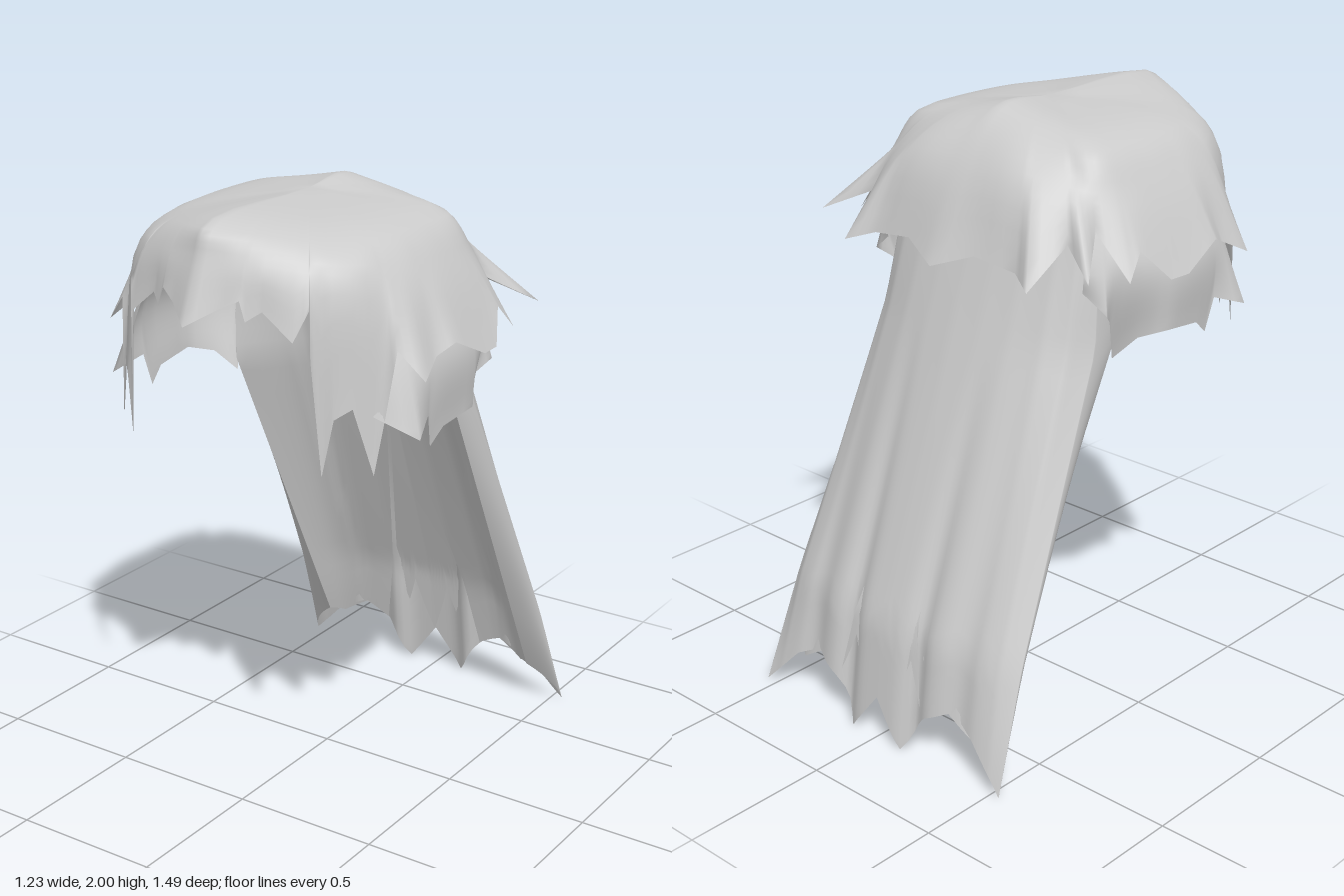
import * as THREE from 'three';
import { mergeVertices } from 'three/addons/utils/BufferGeometryUtils.js';

const { lerp, clamp } = THREE.MathUtils;
const V = (p) => new THREE.Vector3(...p);
const material = new THREE.MeshStandardMaterial({ color: 0xcccccc, side: THREE.DoubleSide });

// Skin a list of columns, each a list of Vector3 from top to bottom
function skin(name, columns) {
  const rows = columns[0].length, pos = [], index = [];
  columns.forEach((c) => c.forEach((p) => pos.push(p.x, p.y, p.z)));
  for (let i = 0; i < columns.length - 1; i++)
    for (let j = 0; j < rows - 1; j++) {
      const a = i * rows + j, b = a + rows;
      index.push(a, a + 1, b, b, a + 1, b + 1);
    }
  let g = new THREE.BufferGeometry();
  g.setAttribute('position', new THREE.Float32BufferAttribute(pos, 3));
  g.setIndex(index);
  g = mergeVertices(g, 1e-4);
  g.computeVertexNormals();
  const mesh = new THREE.Mesh(g, material);
  mesh.name = name;
  return mesh;
}

const flip = (columns) => columns.map((c) => c.map((p) => new THREE.Vector3(-p.x, p.y, p.z))).reverse();
const whole = (half) => [...flip(half).slice(0, -1), ...half];

// Bearing around the head, 0 at the front and PI at the back
const bearing = (p) => Math.atan2(p.x, p.z - 0.1);

// Point of a half ring lying at a given bearing
function atBearing(curve, angle) {
  let lo = 0, hi = 1;
  for (let k = 0; k < 24; k++) {
    const mid = (lo + hi) / 2;
    if (bearing(curve.getPoint(mid)) < angle) lo = mid; else hi = mid;
  }
  return curve.getPoint((lo + hi) / 2);
}

// Columns falling from rings (and an optional crown point) to a jagged hem
function fall(rings, hem, crown) {
  const curves = rings.map((r) => new THREE.CatmullRomCurve3(r.map(V)));
  const pts = [];
  hem.map(V).forEach((p, i, all) => {
    const next = all[i + 1];
    for (let k = 0; k < (next ? 3 : 1); k++) pts.push(next ? p.clone().lerp(next, k / 3) : p);
  });
  return pts.map((tip) => {
    const col = curves.map((c) => atBearing(c, bearing(tip)));
    if (crown) col.unshift(V(crown));
    return new THREE.CatmullRomCurve3([...col, tip]).getPoints(14);
  });
}

// Piecewise linear lookup in [x, y] pairs
function lookup(table, x) {
  for (let i = 1; i < table.length; i++)
    if (x <= table[i][0]) {
      const [a, b] = [table[i - 1], table[i]];
      return lerp(a[1], b[1], clamp((x - a[0]) / (b[0] - a[0]), 0, 1));
    }
  return table[table.length - 1][1];
}

// Front and rear depth and half width of the long hair at height y
const rearZ = (y) => (y > 0.4 ? -0.7 + (y - 0.4) * 0.364 : -0.75 + y * 0.125);
const frontZ = (y) => Math.min(-0.08, -0.73 + 0.496 * y);
const halfWidth = (y) => 0.54 - 0.075 * y;
const notch = (y) => 0.2 * Math.max(0, (1.22 - y) / 1.07);

// Rounded wrap of the long hair: share of the depth reached at a share of the width
const wrap = [[0, 0], [0.25, 0.02], [0.5, 0.08], [0.75, 0.21], [0.9, 0.38], [1, 0.65]];

export function createModel() {
  const model = new THREE.Group();
  model.name = 'hair';

  // Crown with fringe, front locks, side layer and flared back layer
  const crownEdge = [[0, 1.965, 0.63], [0.12, 1.95, 0.56], [0.28, 1.925, 0.43], [0.36, 1.92, 0.28],
    [0.38, 1.92, 0.05], [0.36, 1.92, -0.12], [0.2, 1.955, -0.13], [0, 1.995, -0.13]];
  const shoulder = [[0, 1.88, 0.67], [0.2, 1.86, 0.6], [0.38, 1.83, 0.48], [0.47, 1.81, 0.3],
    [0.49, 1.79, 0.05], [0.45, 1.79, -0.15], [0.25, 1.84, -0.29], [0, 1.85, -0.3]];
  const hem = [[0, 1.69, 0.75], [0.08, 1.74, 0.69], [0.14, 1.77, 0.66], [0.16, 1.71, 0.66],
    [0.2, 1.74, 0.63], [0.3, 1.66, 0.62], [0.33, 1.75, 0.58], [0.335, 1.6, 0.58],
    [0.36, 1.24, 0.56], [0.39, 1.42, 0.54], [0.43, 1.45, 0.5], [0.48, 1.24, 0.46],
    [0.5, 1.42, 0.43], [0.52, 1.62, 0.4], [0.6, 1.53, 0.37], [0.575, 1.58, 0.27],
    [0.6, 1.61, 0.2], [0.615, 1.54, 0.05], [0.61, 1.54, -0.03], [0.56, 1.64, -0.12],
    [0.58, 1.56, -0.19], [0.46, 1.7, -0.21], [0.57, 1.6, -0.37], [0.42, 1.67, -0.29],
    [0.39, 1.55, -0.44], [0.3, 1.58, -0.39], [0.14, 1.6, -0.4], [0, 1.55, -0.45]];
  model.add(skin('crownAndFringe', whole(fall([crownEdge, shoulder], hem, [0, 1.985, 0.1]))));

  // Lower side layers tucked beneath the crown
  const under = [[0.32, 1.78, 0.46], [0.43, 1.76, 0.3], [0.46, 1.75, 0.05], [0.42, 1.75, -0.14], [0.3, 1.75, -0.25]];
  const bulge = [[0.4, 1.56, 0.48], [0.53, 1.56, 0.32], [0.56, 1.55, 0.05], [0.5, 1.56, -0.14], [0.4, 1.56, -0.26]];
  const underHem = [[0.47, 1.42, 0.45], [0.59, 1.35, 0.38], [0.55, 1.39, 0.27], [0.54, 1.28, 0.24],
    [0.55, 1.33, 0.18], [0.56, 1.35, 0.02], [0.5, 1.33, -0.05], [0.44, 1.26, -0.1],
    [0.47, 1.4, -0.15], [0.5, 1.44, -0.2], [0.42, 1.5, -0.22]];
  const side = fall([under, bulge], underHem);
  model.add(skin('leftSideLayer', side), skin('rightSideLayer', flip(side)));

  // Long back hair: a rounded sheet whose edges wrap forward, with grooves beside the locks
  const backHem = [[0, 0.15], [0.11, 0], [0.16, 0.1], [0.2, 0.15], [0.3, 0.2], [0.4, 0.15], [0.48, 0.06], [0.525, 0.01]];
  const groove = (x, at, depth, size) => depth * Math.exp(-(((x - at) / size) ** 2));
  const N = 48, M = 28, turn = 0.8, long = [];
  for (let i = 0; i <= N; i++) {
    const t = i / N, col = [];
    const across = Math.sin(Math.min(1, t / turn) * Math.PI / 2);
    const edge = Math.max(0, (t - turn) / (1 - turn));
    const low = edge ? lerp(0.01, 0.15, edge) : lookup(backHem, across * 0.525);
    for (let j = 0; j <= M; j++) {
      const y = lerp(1.7, low, j / M), w = halfWidth(y);
      const x = edge ? lerp(w, Math.min(w, 0.43), edge ** 2) : across * w;
      const forward = edge ? lerp(0.65, 1, edge) : lookup(wrap, across);
      const fold = groove(x, 0.15, 0.03, 0.04) + groove(x, 0.33, 0.02, 0.06);
      const z = lerp(rearZ(y), frontZ(y), forward) + fold * clamp(1.3 - y, 0, 1);
      col.push(new THREE.Vector3(x, y, z));
    }
    long.push(col);
  }
  model.add(skin('longBackHair', whole(long)));

  // Lining of the long hair, between two widths given by height
  function lining(from, to, top, hemTable, inset) {
    const half = [];
    for (let i = 0; i <= 20; i++) {
      const s = i / 20, col = [], low = lookup(hemTable, s);
      for (let j = 0; j <= M; j++) {
        const y = lerp(top, low, j / M), x = lerp(from(y), to(y), s);
        const forward = lookup(wrap, x / halfWidth(y)) + inset;
        col.push(new THREE.Vector3(x, y, lerp(rearZ(y), frontZ(y), lerp(forward, 1, s ** 6 * (x > 0.3)))));
      }
      half.push(col);
    }
    return half;
  }

  // Inner panels parting in a tall notch, filled by a ragged centre lock
  const panel = lining(notch, (y) => Math.min(halfWidth(y), 0.43), 1.62, [[0, 0.15], [0.4, 0.2], [0.8, 0.14], [1, 0.15]], 0.17);
  model.add(skin('leftInnerPanel', panel), skin('rightInnerPanel', flip(panel)));
  const lock = lining(() => 0, (y) => notch(y) * 0.93, 1.2, [[0, 0.15], [0.45, 0.35], [0.6, 0.25], [0.8, 0.32], [1, 0.18]], 0.1);
  model.add(skin('centreLock', whole(lock)));

  return model;
}
